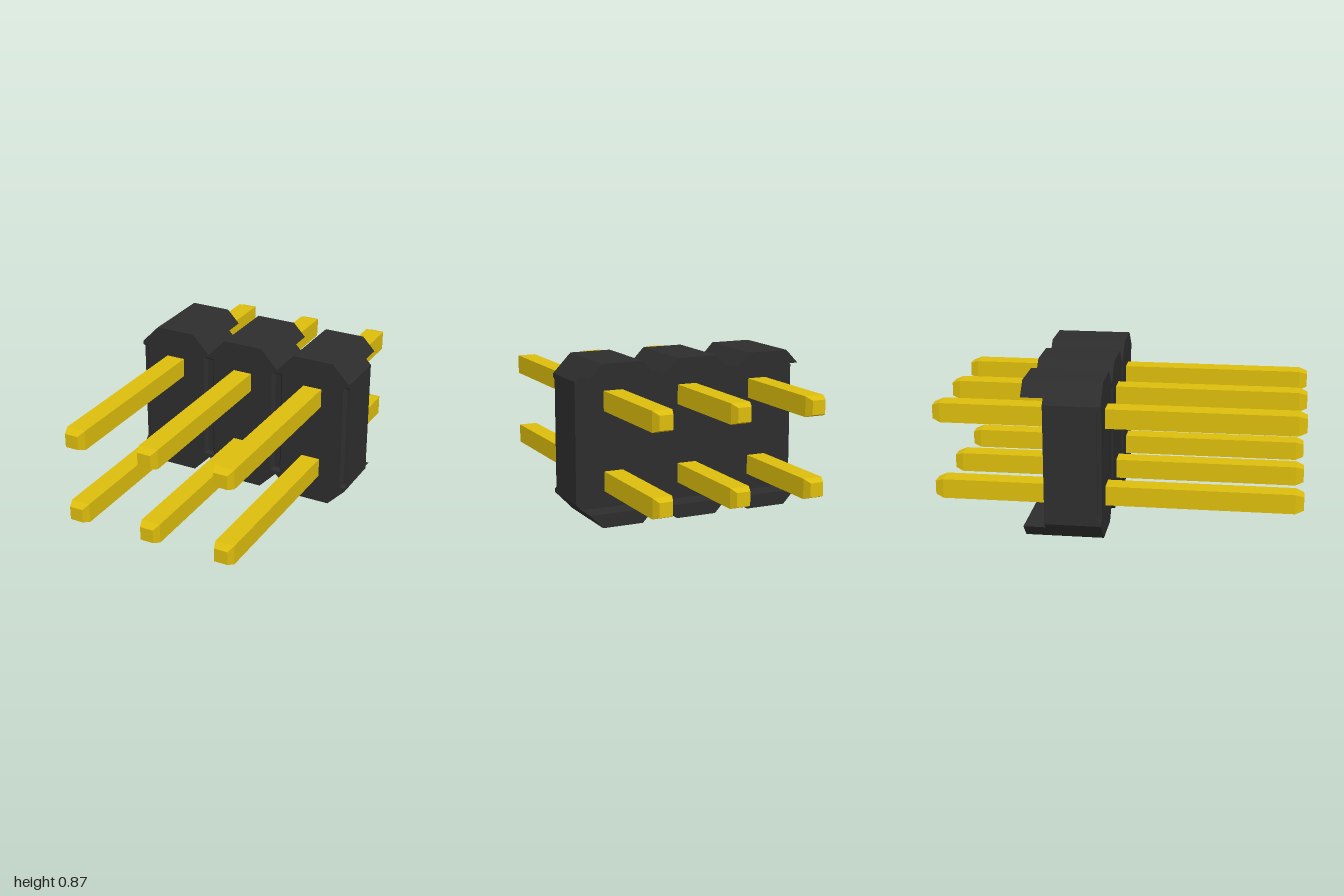
import * as THREE from 'three';

const PITCH = 0.433, HALF = PITCH / 2, H = 0.87;
const COLUMNS = [-PITCH, 0, PITCH];
const BACK = -0.365, GROOVE = -0.08, FRONT = -0.06, LIP = -0.485;

const plastic = new THREE.MeshStandardMaterial({ color: 0x2d2d2d, flatShading: true });
const gold = new THREE.MeshStandardMaterial({ color: 0xdcbc0c, flatShading: true });

// Extrude a closed outline between two z planes
function prism(points, z0, z1) {
  const shape = new THREE.Shape(points.map(([x, y]) => new THREE.Vector2(x, y)));
  const geo = new THREE.ExtrudeGeometry(shape, { depth: z1 - z0, bevelEnabled: false });
  return geo.translate(0, 0, z0);
}

// Solid core: three joined octagons
function coreGeometry() {
  const lower = [[-1.5 * PITCH, 0.105]];
  for (const x of COLUMNS) lower.push([x - 0.115, 0], [x + 0.115, 0], [x + HALF, 0.105]);
  const upper = lower.map(([x, y]) => [x, H - y]).reverse();
  return prism([...lower, ...upper], BACK, GROOVE);
}

// Front plate of one cell, with a bevelled notch on both sides
function plateGeometry() {
  const right = [
    [0.115, 0], [HALF, 0.105], [HALF, 0.125], [0.184, 0.125],
    [0.184, H - 0.125], [HALF, H - 0.125], [HALF, H - 0.105], [0.115, H],
  ];
  const left = right.map(([x, y]) => [-x, y]).reverse();
  const geo = prism([...right, ...left], GROOVE, FRONT);
  const p = geo.attributes.position;
  for (let i = 0; i < p.count; i++) {
    if (p.getZ(i) > (GROOVE + FRONT) / 2) continue;
    const x = p.getX(i), dy = p.getY(i) - H / 2;
    // Narrow the notch towards its floor
    if (Math.abs(Math.abs(x) - 0.184) < 0.001) p.setX(i, Math.sign(x) * 0.2);
    if (Math.abs(Math.abs(dy) - 0.31) < 0.001) p.setY(i, H / 2 + Math.sign(dy) * 0.295);
  }
  geo.computeVertexNormals();
  return geo;
}

// Square pin with tapered ends
function pinGeometry() {
  const geo = new THREE.BoxGeometry(0.108, 0.108, 2, 1, 1, 3);
  const p = geo.attributes.position;
  for (let i = 0; i < p.count; i++) {
    const z = p.getZ(i);
    if (Math.abs(z) > 0.9) {
      p.setX(i, p.getX(i) * 0.7);
      p.setY(i, p.getY(i) * 0.7);
    } else p.setZ(i, Math.sign(z) * 0.955);
  }
  geo.computeVertexNormals();
  return geo;
}

export function createModel() {
  const model = new THREE.Group();
  model.name = 'pinHeader';

  const add = (parent, name, geo, mat, x = 0, y = 0) => {
    const mesh = new THREE.Mesh(geo, mat);
    mesh.name = name;
    mesh.position.set(x, y, 0);
    parent.add(mesh);
  };

  const housing = new THREE.Group();
  housing.name = 'housing';
  const pins = new THREE.Group();
  pins.name = 'pins';
  model.add(housing, pins);

  add(housing, 'core', coreGeometry(), plastic);
  const plate = plateGeometry(), pin = pinGeometry();
  // Rear lips along the top and bottom edges
  const bottomLip = prism([[-0.115, 0], [0.115, 0], [0.187, 0.075], [-0.187, 0.075]], LIP, BACK);
  const topLip = prism([[-0.187, H - 0.075], [0.187, H - 0.075], [0.115, H], [-0.115, H]], LIP, BACK);

  for (const x of COLUMNS) {
    add(housing, 'frontPlate', plate, plastic, x);
    add(housing, 'bottomLip', bottomLip, plastic, x);
    add(housing, 'topLip', topLip, plastic, x);
    for (const y of [0.218, 0.652]) add(pins, 'pin', pin, gold, x, y);
  }
  return model;
}
